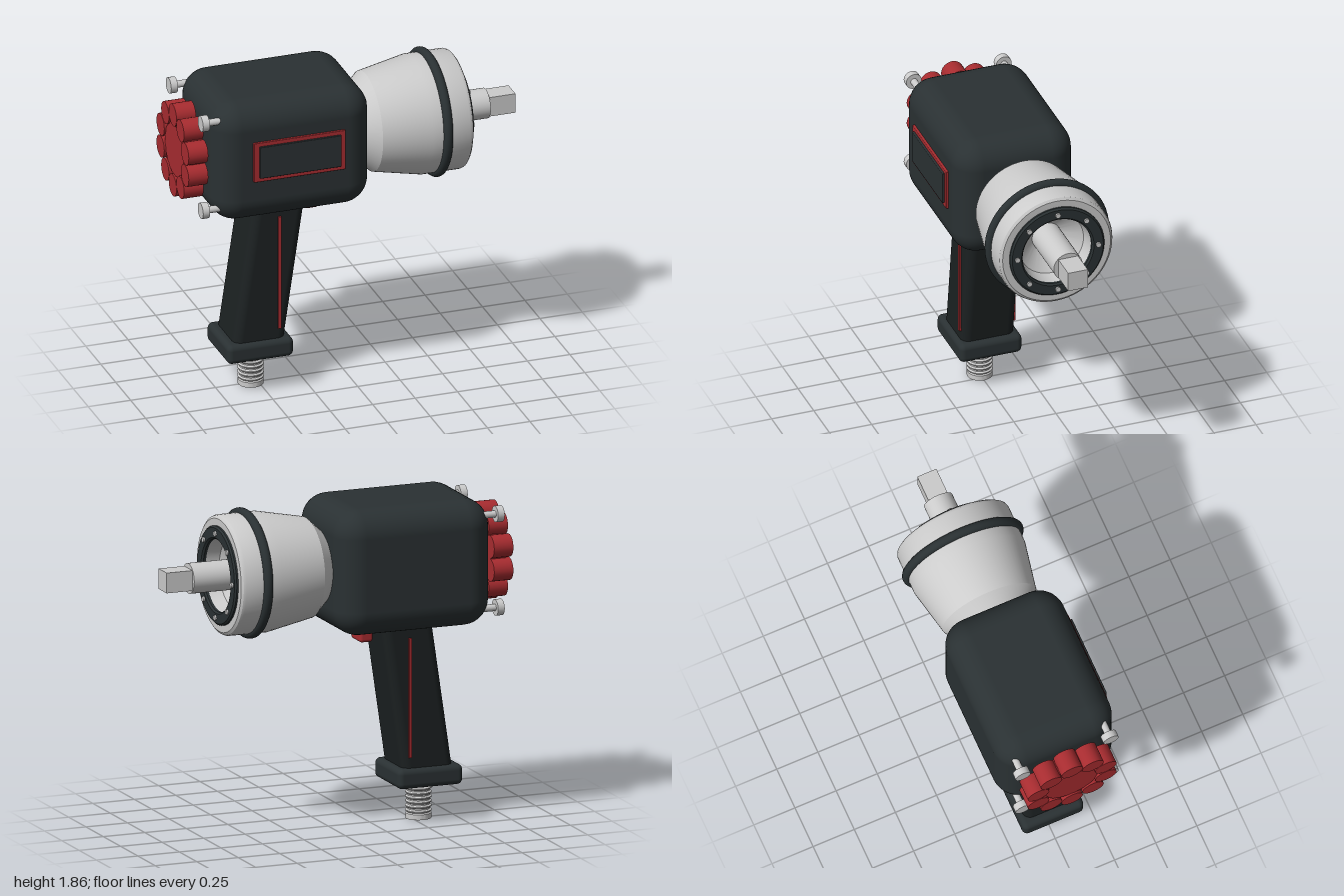
import * as THREE from 'three';
import { RoundedBoxGeometry } from 'three/addons/geometries/RoundedBoxGeometry.js';
import { toCreasedNormals } from 'three/addons/utils/BufferGeometryUtils.js';

const AXIS_Y = 1.495, AXIS_Z = -0.007; // centre line of the tool head

export function createModel() {
  const model = new THREE.Group();
  const mat = (color) => new THREE.MeshStandardMaterial({ color });
  const grey = mat(0xcccccc), dark = mat(0x2a3133), grip = mat(0x1c2122), red = mat(0xa82c30);

  const add = (parent, name, geo, material, x = 0, y = 0, z = 0) => {
    const mesh = new THREE.Mesh(geo, material);
    mesh.name = name;
    mesh.position.set(x, y, z);
    parent.add(mesh);
    return mesh;
  };
  // rounded box given by its limits
  const block = (name, [x0, x1], [y0, y1], [z0, z1], r, material) =>
    add(model, name, new RoundedBoxGeometry(x1 - x0, y1 - y0, z1 - z0, 5, r), material,
      (x0 + x1) / 2, (y0 + y1) / 2, (z0 + z1) / 2);
  // cylinder lying along x
  const rod = (parent, name, r, x0, x1, material, y = 0, z = 0, sides = 32) =>
    add(parent, name, new THREE.CylinderGeometry(r, r, x1 - x0, sides).rotateZ(-Math.PI / 2), material,
      (x0 + x1) / 2, y, z);
  // profile of [radius, height] pairs turned about y
  const lathe = (pts) => toCreasedNormals(
    new THREE.LatheGeometry(pts.map(([r, h]) => new THREE.Vector2(r, h)), 64), 0.5);

  // Motor housing
  block('housing', [-0.862, 0.065], [1.135, 1.855], [AXIS_Z - 0.353, AXIS_Z + 0.353], 0.15, dark);

  // Side panel: red frame with a dark plate
  block('panelFrame', [-0.65, -0.11], [1.4, 1.64], [0.32, 0.36], 0.004, red);
  block('panelPlate', [-0.617, -0.137], [1.425, 1.617], [0.33, 0.373], 0.004, dark);

  // Everything on the head's centre line
  const head = new THREE.Group();
  head.name = 'head';
  head.position.set(0, AXIS_Y, AXIS_Z);
  model.add(head);

  // Nose: tapered shell with an open, dished front
  add(head, 'noseShell', lathe([
    [0, 0], [0.205, 0], [0.215, 0.065], [0.285, 0.14], [0.34, 0.415], [0.34, 0.635],
    [0.334, 0.65], [0.32, 0.66], [0.28, 0.66], [0.205, 0.655], [0.19, 0.58], [0.085, 0.5], [0, 0.5],
  ]).rotateZ(-Math.PI / 2), grey);
  add(head, 'noseBand', new THREE.TorusGeometry(0.34, 0.027, 16, 64).rotateY(Math.PI / 2), dark, 0.505);
  add(head, 'noseRing', lathe([
    [0.205, 0.64], [0.28, 0.64], [0.28, 0.67], [0.27, 0.68], [0.215, 0.68], [0.205, 0.67], [0.205, 0.64],
  ]).rotateZ(-Math.PI / 2), dark);
  for (let i = 0; i < 8; i++) {
    const a = i * Math.PI / 4;
    rod(head, 'ringBolt', 0.015, 0.66, 0.69, grey, 0.24 * Math.cos(a), 0.24 * Math.sin(a), 16);
  }

  // Drive shaft with square end
  rod(head, 'shaft', 0.086, 0.45, 0.845, grey);
  add(head, 'squareDrive', new THREE.BoxGeometry(0.18, 0.116, 0.116), grey, 0.91);

  // Lobed knob at the rear
  rod(head, 'knobStem', 0.1, -0.9, -0.84, red);
  rod(head, 'knobCore', 0.215, -0.975, -0.885, red, 0, 0, 40);
  rod(head, 'knobCap', 0.155, -0.99, -0.9, red, 0, 0, 40);
  for (let i = 0; i < 10; i++) {
    const a = i * Math.PI / 5;
    rod(head, 'knobLobe', 0.065, -1, -0.885, red, 0.215 * Math.cos(a), 0.215 * Math.sin(a), 24);
  }

  // Corner screws behind the housing
  for (const sy of [-1, 1]) for (const sz of [-1, 1]) {
    const y = sy * 0.267, z = sz * 0.267;
    rod(head, 'screwHead', 0.046, -0.93, -0.89, grey, y, z, 24);
    rod(head, 'screwShank', 0.02, -0.9, -0.74, grey, y, z, 16);
  }

  // Handle: rounded block leaning back
  const handle = new RoundedBoxGeometry(0.303, 0.92, 0.312, 5, 0.05);
  handle.applyMatrix4(new THREE.Matrix4().set(1, 0.146, 0, 0, 0, 1, 0, 0, 0, 0, 1, 0, 0, 0, 0, 1));
  add(model, 'handle', handle, grip, -0.481, 0.73, 0);
  for (const s of [-1, 1]) {
    add(model, 'handleStripe', new THREE.BoxGeometry(0.017, 0.685, 0.03), red, -0.428, 0.728, s * 0.152);
  }
  block('trigger', [-0.243, -0.163], [1.045, 1.2], [-0.07, 0.07], 0.018, red);
  block('handleBase', [-0.74, -0.35], [0.21, 0.325], [-0.185, 0.185], 0.032, dark);

  // Ribbed air inlet
  const ribs = [[0, 0], [0.072, 0], [0.072, 0.03]];
  for (let y = 0.03; y < 0.2; y += 0.026) ribs.push([0.065, y + 0.006], [0.074, y + 0.013], [0.074, y + 0.018], [0.065, y + 0.025]);
  ribs.push([0.065, 0.24], [0, 0.24]);
  add(model, 'airInlet', lathe(ribs), grey, -0.543, 0, 0);

  return model;
}
